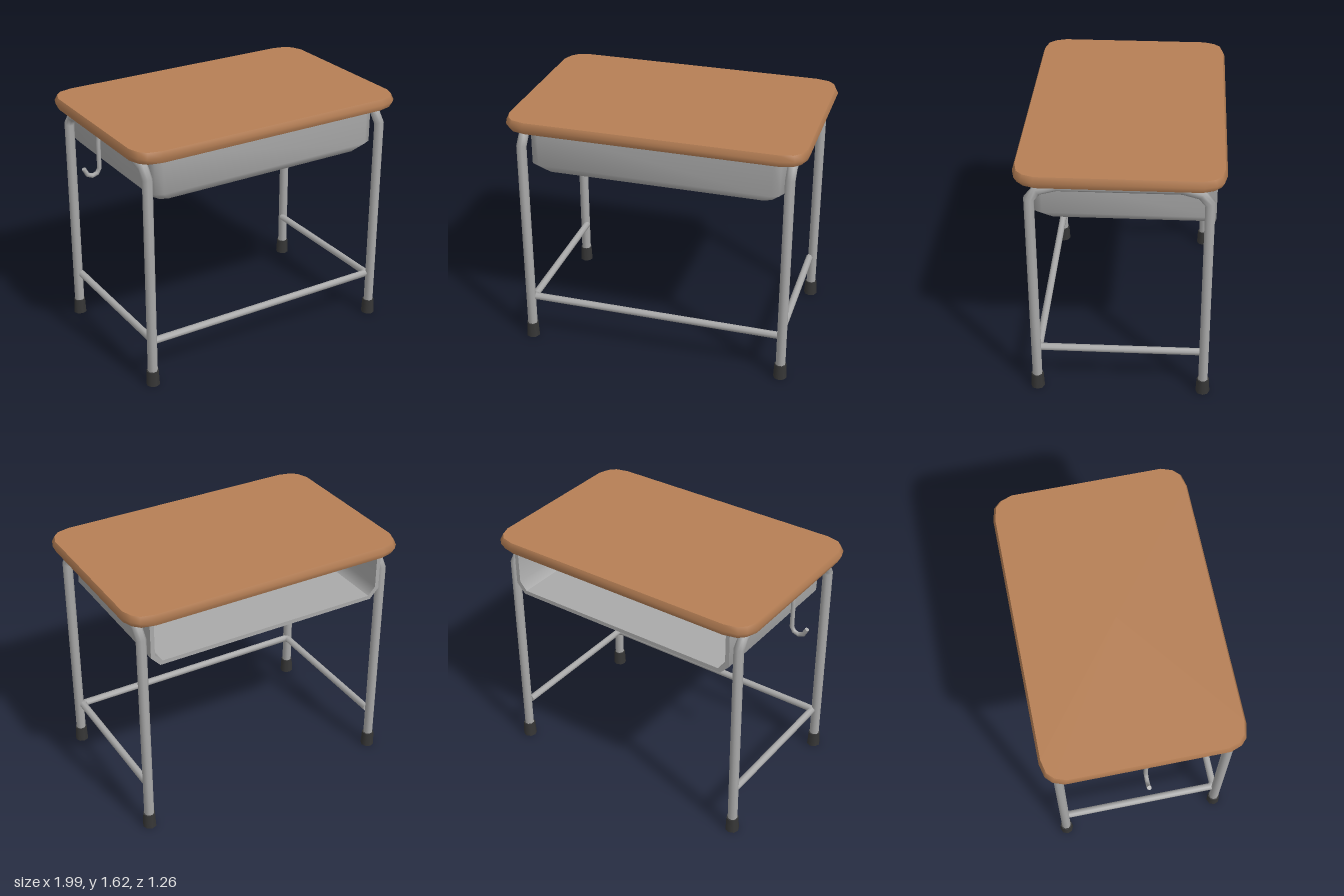
import * as THREE from 'three';
import { mergeGeometries } from 'three/addons/utils/BufferGeometryUtils.js';

const V = (x, y, z) => new THREE.Vector3(x, y, z);

// Smooth skin through rows of points; front side is (row direction) x (column direction)
function skin(rows, closed = false) {
  const n = rows[0].length, index = [];
  for (let r = 0; r < rows.length - 1; r++) {
    for (let i = 0; i < (closed ? n : n - 1); i++) {
      const j = (i + 1) % n;
      const a = r * n + i, b = r * n + j, c = b + n, d = a + n;
      index.push(a, c, b, a, d, c);
    }
  }
  const g = new THREE.BufferGeometry().setFromPoints(rows.flat());
  g.setIndex(index);
  g.computeVertexNormals();
  return g;
}

// Capped tube with mitred bends along a path lying in the plane with normal n
function bentTube(points, n, radius, sides = 8) {
  const rings = points.map((p, i) => {
    const next = points[i + 1], prev = points[i - 1];
    const d1 = next ? next.clone().sub(p).normalize() : p.clone().sub(prev).normalize();
    const d0 = prev ? p.clone().sub(prev).normalize() : d1;
    const t = d0.clone().add(d1).normalize();
    const s = t.clone().cross(n).divideScalar(t.dot(d1));
    return Array.from({ length: sides }, (_, k) => {
      const a = ((k + 0.5) / sides) * Math.PI * 2;
      return p.clone().addScaledVector(s, Math.cos(a) * radius).addScaledVector(n, Math.sin(a) * radius);
    });
  });
  const last = points.length - 1;
  return mergeGeometries([
    skin(rings, true),
    skin([rings[0].map(() => points[0]), rings[0]], true),
    skin([rings[last], rings[last].map(() => points[last])], true),
  ]);
}

// Rounded rectangular board with a bulging edge
function boardGeometry(cx, halfW, halfD) {
  const corner = [[0, 0.13], [0.025, 0.06], [0.065, 0.02], [0.15, 0]];
  const ring = (y, inset) => {
    const w = halfW - inset, d = halfD - inset;
    const q = corner.map(([a, b]) => [w - a, d - b]);
    const rev = [...q].reverse();
    return [
      [w, 0], ...q, ...rev.map(([x, z]) => [-x, z]),
      ...q.map(([x, z]) => [-x, -z]), ...rev.map(([x, z]) => [x, -z]),
    ].map(([x, z]) => V(cx + x, y, z));
  };
  const bottom = ring(1.545, 0.016), middle = ring(1.583, 0), top = ring(1.62, 0.014);
  return mergeGeometries([
    skin([bottom.map(() => V(cx, 1.545, 0)), bottom], true),
    skin([bottom, middle, top], true),
    skin([top, top.map(() => V(cx, 1.62, 0))], true),
  ]);
}

// Storage tray: open at the back, bevelled along the bottom
function trayGeometry(cx, halfW, front, back) {
  const row = (y, inset) => {
    const w = halfW - inset, f = front - inset;
    const half = [[w, back], [w, f - 0.07], [w - 0.022, f - 0.022], [w - 0.07, f]];
    return [...half, ...[...half].reverse().map(([x, z]) => [-x, z])].map(([x, z]) => V(cx + x, y, z));
  };
  const shell = (t) => {
    const walls = [row(1.235 + t, 0.06 + t * 0.6), row(1.3 + t * 0.6, t), row(1.545, t)];
    const floor = walls[0].map((p) => V(cx, p.y, p.z));
    return { walls, floor };
  };
  const out = shell(0), inn = shell(0.027);
  const edge = (s, i) => [s.floor, ...s.walls].map((r) => r[i]);
  const end = out.floor.length - 1;
  return mergeGeometries([
    skin([out.floor, out.walls[0]]),
    skin(out.walls),
    skin([out.walls[2], inn.walls[2]]),
    skin([...inn.walls].reverse()),
    skin([inn.walls[0], inn.floor]),
    skin([edge(out, 0), edge(inn, 0)]),
    skin([edge(inn, end), edge(out, end)]),
  ]);
}

export function createModel() {
  const wood = new THREE.MeshStandardMaterial({ color: 0xb67f55 });
  wood.name = 'wood';
  const metal = new THREE.MeshStandardMaterial({ color: 0xa9a9a9, side: THREE.DoubleSide });
  metal.name = 'grey metal';
  const rubber = new THREE.MeshStandardMaterial({ color: 0x363636 });
  rubber.name = 'black rubber';

  const model = new THREE.Group();
  model.name = 'schoolDesk';
  const add = (name, geometry, material) => {
    const mesh = new THREE.Mesh(geometry, material);
    mesh.name = name;
    model.add(mesh);
    return mesh;
  };

  const cx = 0.032, legX = 0.86, legZ = 0.532;

  add('desktop', boardGeometry(cx, 0.963, 0.628), wood);
  add('storageTray', trayGeometry(cx, 0.82, 0.533, -0.572), metal);

  // Side frames: two legs joined by a bent top rail, with rubber feet
  const legHalf = [[legZ, 0.05], [legZ, 1.42], [0.482, 1.482], [0.37, 1.513]];
  const framePath = [...legHalf, ...[...legHalf].reverse().map(([z, y]) => [-z, y])];
  for (const side of [1, -1]) {
    const x = cx + side * legX, label = side > 0 ? 'left' : 'right';
    add(label + 'LegFrame', bentTube(framePath.map(([z, y]) => V(x, y, z)), V(1, 0, 0), 0.032), metal);
    for (const end of [1, -1]) {
      const foot = add(label + (end > 0 ? 'FrontFoot' : 'BackFoot'),
        new THREE.CylinderGeometry(0.04, 0.045, 0.1, 8), rubber);
      foot.position.set(x, 0.05, end * legZ);
    }
  }

  // U-shaped lower brace along both sides and the front
  const bx = legX - 0.018, bz = 0.515;
  const brace = [[bx, -bz], [bx, bz - 0.02], [bx - 0.02, bz], [-bx + 0.02, bz], [-bx, bz - 0.02], [-bx, -bz]];
  add('lowerBrace', bentTube(brace.map(([x, z]) => V(cx + x, 0.302, z)), V(0, 1, 0), 0.024), metal);

  // Bag hook on the right side
  const hook = [[-0.874, 1.54], [-0.88, 1.48], [-0.88, 1.31], [-0.897, 1.28], [-0.93, 1.269],
    [-0.963, 1.284], [-0.986, 1.328]];
  add('bagHook', bentTube(hook.map(([x, y]) => V(x, y, 0)), V(0, 0, 1), 0.014), metal);

  return model;
}
